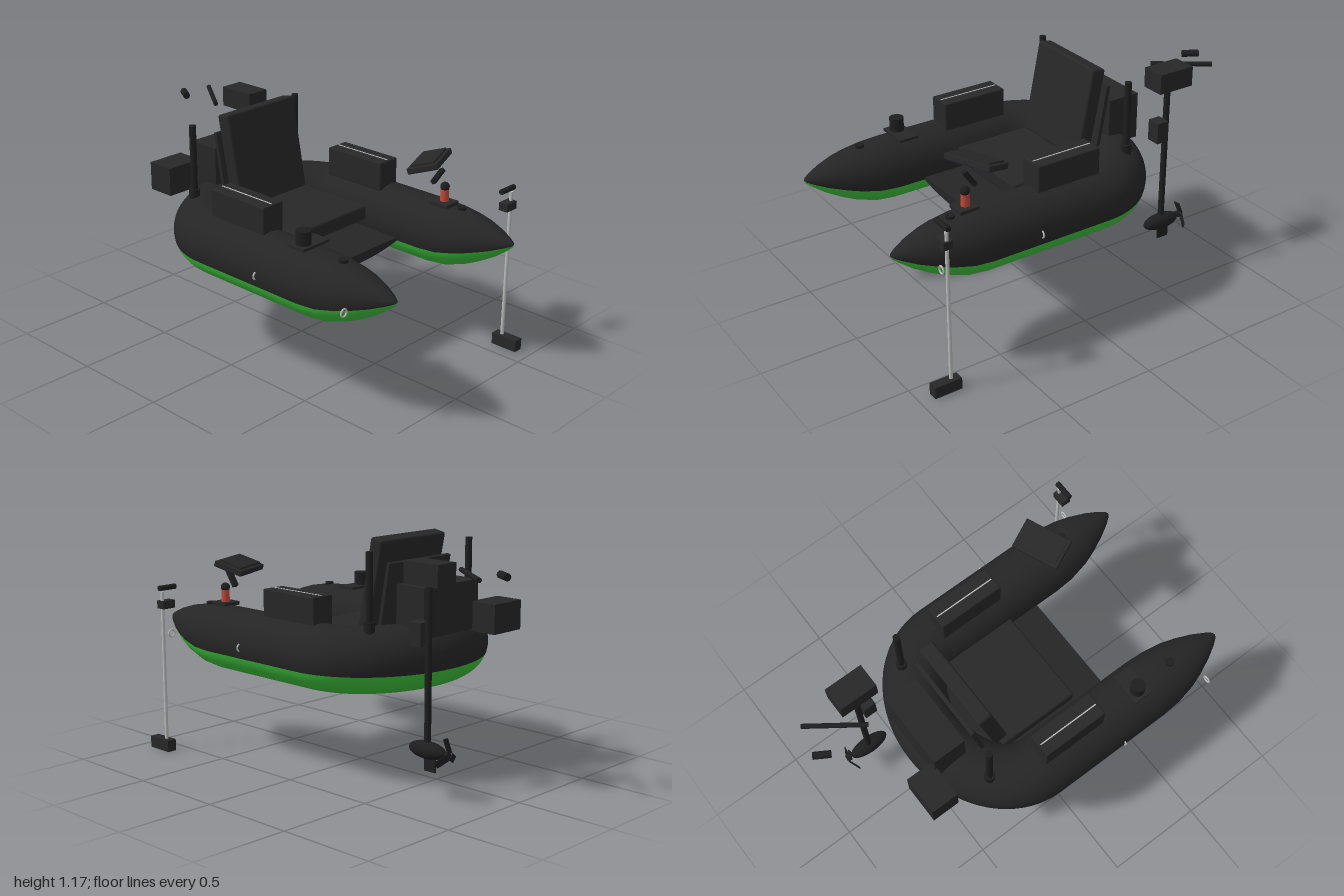
import * as THREE from 'three';
import { RoundedBoxGeometry } from 'three/addons/geometries/RoundedBoxGeometry.js';

const material = (name, color, side = THREE.FrontSide) => {
  const m = new THREE.MeshStandardMaterial({ color, side });
  m.name = name;
  return m;
};

export function createModel() {
  const model = new THREE.Group();
  model.name = 'inflatableFishingBoat';
  const dark = material('charcoal', 0x272727);
  const black = material('black', 0x1e1e1e);
  const hullDark = material('hullCharcoal', 0x252525, THREE.DoubleSide);
  const green = material('hullGreen', 0x3dc03b, THREE.DoubleSide);
  const silver = material('silver', 0xbcbcbc);
  const red = material('lampRed', 0xc04a3c);
  const blue = material('screenBlue', 0x1e3474);

  const add = (name, geometry, mat, x = 0, y = 0, z = 0, parent = model) => {
    const mesh = new THREE.Mesh(geometry, mat);
    mesh.name = name;
    mesh.position.set(x, y, z);
    parent.add(mesh);
    return mesh;
  };
  // Box given by its extents on each axis
  const box = (name, [x0, x1], [y0, y1], [z0, z1], mat = dark, round = 0) => {
    const s = [x1 - x0, y1 - y0, z1 - z0];
    const g = round ? new RoundedBoxGeometry(...s, 2, round) : new THREE.BoxGeometry(...s);
    return add(name, g, mat, (x0 + x1) / 2, (y0 + y1) / 2, (z0 + z1) / 2);
  };
  const post = (name, x, z, y0, y1, r, mat = black) =>
    add(name, new THREE.CylinderGeometry(r, r, y1 - y0, 20), mat, x, (y0 + y1) / 2, z);
  // Rod between two points
  const rod = (name, a, b, r) => {
    const p = new THREE.Vector3(...a), q = new THREE.Vector3(...b);
    const mesh = add(name, new THREE.CylinderGeometry(r, r, p.distanceTo(q), 16), black);
    mesh.position.copy(p).add(q).multiplyScalar(0.5);
    mesh.quaternion.setFromUnitVectors(new THREE.Vector3(0, 1, 0), q.sub(p).normalize());
  };

  // Hull: U-shaped tube with pointed, rising bows
  const CX = -0.03, HALF = 0.425, ARCH = 0.33, ARCH_Z = -0.1;
  // z, centre height, vertical radius, horizontal radius
  const bow = [
    [1.0, 0.662, 0.001, 0.001], [0.99, 0.66, 0.015, 0.017], [0.96, 0.655, 0.036, 0.04],
    [0.9, 0.645, 0.071, 0.075], [0.82, 0.634, 0.106, 0.111], [0.75, 0.624, 0.129, 0.135],
    [0.65, 0.613, 0.152, 0.154], [0.55, 0.61, 0.16, 0.16], [0.3, 0.61, 0.16, 0.16],
  ];
  const leg = (side) => bow.map(([z, y, rv, rh]) => ({ x: CX + side * HALF, z, y, rv, rh, sx: side, sz: 0 }));
  const sections = leg(1);
  for (let i = 0; i <= 40; i++) {
    const t = (i / 40) * Math.PI;
    const n = new THREE.Vector2(Math.cos(t) / HALF, -Math.sin(t) / ARCH).normalize();
    sections.push({
      x: CX + HALF * Math.cos(t), z: ARCH_Z - ARCH * Math.sin(t),
      y: 0.61, rv: 0.16, rh: 0.16, sx: n.x, sz: n.y,
    });
  }
  sections.push(...leg(-1).reverse());

  const tubeSkin = (from, to, steps) => {
    const pos = [], index = [], row = steps + 1;
    sections.forEach((s, i) => {
      for (let j = 0; j <= steps; j++) {
        const a = from + ((to - from) * j) / steps;
        const h = s.rh * Math.cos(a);
        pos.push(s.x + h * s.sx, s.y + s.rv * Math.sin(a), s.z + h * s.sz);
        if (i < sections.length - 1 && j < steps) {
          const k = i * row + j;
          index.push(k, k + row, k + row + 1, k, k + row + 1, k + 1);
        }
      }
    });
    const g = new THREE.BufferGeometry();
    g.setAttribute('position', new THREE.Float32BufferAttribute(pos, 3));
    g.setIndex(index);
    g.computeVertexNormals();
    return g;
  };
  const SPLIT = 0.318;
  add('hullTop', tubeSkin(-SPLIT, Math.PI + SPLIT, 32), hullDark);
  add('hullBottom', tubeSkin(Math.PI + SPLIT, 2 * Math.PI - SPLIT, 20), green);

  // Sagging floor between the tubes
  const floor = new THREE.Shape();
  floor.moveTo(-0.285, 0.575);
  floor.lineTo(-0.285, 0.56);
  floor.quadraticCurveTo(0, 0.492, 0.285, 0.56);
  floor.lineTo(0.285, 0.575);
  add('floor', new THREE.ExtrudeGeometry(floor, { depth: 0.725, bevelEnabled: false, curveSegments: 20 }), hullDark, CX, 0, -0.31);

  // Seat with reclined backrest and its rear panel
  box('seatCushion', [-0.283, 0.223], [0.625, 0.7], [-0.2, 0.232], dark, 0.01);
  const back = add('backrest', new RoundedBoxGeometry(0.457, 0.47, 0.075, 3, 0.012), dark, CX, 0.935, -0.238);
  back.rotation.x = -0.195;
  const panel = add('backrestPanel', new THREE.BoxGeometry(0.435, 0.36, 0.02), dark, CX, 0.88, -0.318);
  panel.rotation.x = -0.18;

  // Bags at the stern
  box('rearBag', [-0.223, 0.163], [0.72, 0.96], [-0.555, -0.38]);
  box('batteryBox', [-0.384, -0.184], [0.71, 0.855], [-0.69, -0.545]);

  for (const s of [-1, 1]) {
    const tubeX = CX + s * HALF;
    // Side pockets with a thin zip along the top
    const px = CX + s * 0.4075;
    box('sidePocket', [px - 0.063, px + 0.063], [0.75, 0.898], [-0.11, 0.24], dark, 0.006);
    box('zip', [px - 0.003, px + 0.003], [0.896, 0.9], [-0.1, 0.23], silver);
    // Rod holders
    const hx = CX + s * 0.355;
    post('rodHolderBase', hx, -0.36, 0.74, 0.8, 0.027);
    post('rodHolder', hx, -0.36, 0.78, 1.127, 0.017);
    // Valves and tie rings
    post('valve', tubeX, 0.69, 0.745, 0.773, 0.022);
    add('bowRing', new THREE.TorusGeometry(0.018, 0.0045, 8, 24), silver, CX + s * 0.574, 0.61, 0.83);
    add('sideRing', new THREE.TorusGeometry(0.018, 0.0045, 8, 24), silver, CX + s * 0.576, 0.615, 0.295);
  }

  // Mount with cup on the right bow
  box('cupPlate', [-0.525, -0.355], [0.77, 0.784], [0.415, 0.515]);
  post('cup', -0.475, 0.467, 0.784, 0.852, 0.036);

  // Lamp and display mount on the left bow
  box('lampPlate', [0.325, 0.42], [0.765, 0.783], [0.55, 0.65]);
  post('lampBody', 0.376, 0.597, 0.783, 0.843, 0.021, red);
  add('lampCap', new THREE.SphereGeometry(0.023, 20, 14), black, 0.376, 0.856, 0.597);
  const arm = add('displayArm', new THREE.BoxGeometry(0.026, 0.095, 0.022), black, 0.36, 0.905, 0.563);
  arm.rotation.x = 0.6;
  const display = new THREE.Group();
  display.name = 'display';
  display.position.set(0.349, 0.973, 0.518);
  display.rotation.set(-0.3, 0.39, 0, 'YXZ');
  model.add(display);
  add('displayCase', new RoundedBoxGeometry(0.25, 0.03, 0.155, 2, 0.005), dark, 0, 0, 0, display);
  add('displayBack', new THREE.BoxGeometry(0.215, 0.012, 0.12), dark, 0, 0.018, 0, display);
  add('displayScreen', new THREE.BoxGeometry(0.228, 0.004, 0.133), blue, 0, -0.0155, 0, display);

  // Sounder pole
  post('sounderPole', 0.597, 0.83, 0.05, 0.83, 0.009, silver);
  box('sounderFoot', [0.573, 0.623], [0, 0.06], [0.787, 0.93]);
  box('poleClamp', [0.536, 0.611], [0.745, 0.785], [0.805, 0.855]);
  rod('poleHandle', [0.514, 0.85, 0.83], [0.615, 0.85, 0.83], 0.014);

  // Outboard motor
  const MX = 0.258, MZ = -0.665;
  box('motorBracket', [0.222, 0.296], [0.72, 0.83], [-0.65, -0.585]);
  post('motorShaft', MX, MZ, 0.24, 1.02, 0.016);
  box('motorHead', [0.196, 0.321], [1.005, 1.108], [-0.768, -0.567]);
  add('motorPod', new THREE.SphereGeometry(1, 24, 16), black, MX, 0.237, MZ).scale.set(0.042, 0.042, 0.108);
  box('skeg', [MX - 0.004, MX + 0.004], [0.137, 0.22], [-0.715, -0.648], black);
  // Swept propeller blades
  const propeller = new THREE.Group();
  propeller.name = 'propeller';
  propeller.position.set(MX, 0.237, -0.798);
  model.add(propeller);
  post('propellerHub', MX, -0.785, 0.229, 0.245, 0.014).rotation.x = Math.PI / 2;
  for (let i = 0; i < 3; i++) {
    const holder = new THREE.Group();
    holder.name = 'bladeHolder';
    holder.rotation.z = (i * Math.PI * 2) / 3;
    propeller.add(holder);
    const blade = add('propellerBlade', new THREE.BoxGeometry(0.034, 0.07, 0.005), black, 0, 0.042, 0.013, holder);
    blade.rotation.set(0.4, 0.12, 0);
  }
  rod('tillerRod', [0.08, 1.055, -0.7], [0.26, 1.055, -0.95], 0.012);
  rod('tillerGrip', [0.068, 1.055, -0.915], [0.112, 1.055, -0.988], 0.018);

  return model;
}
